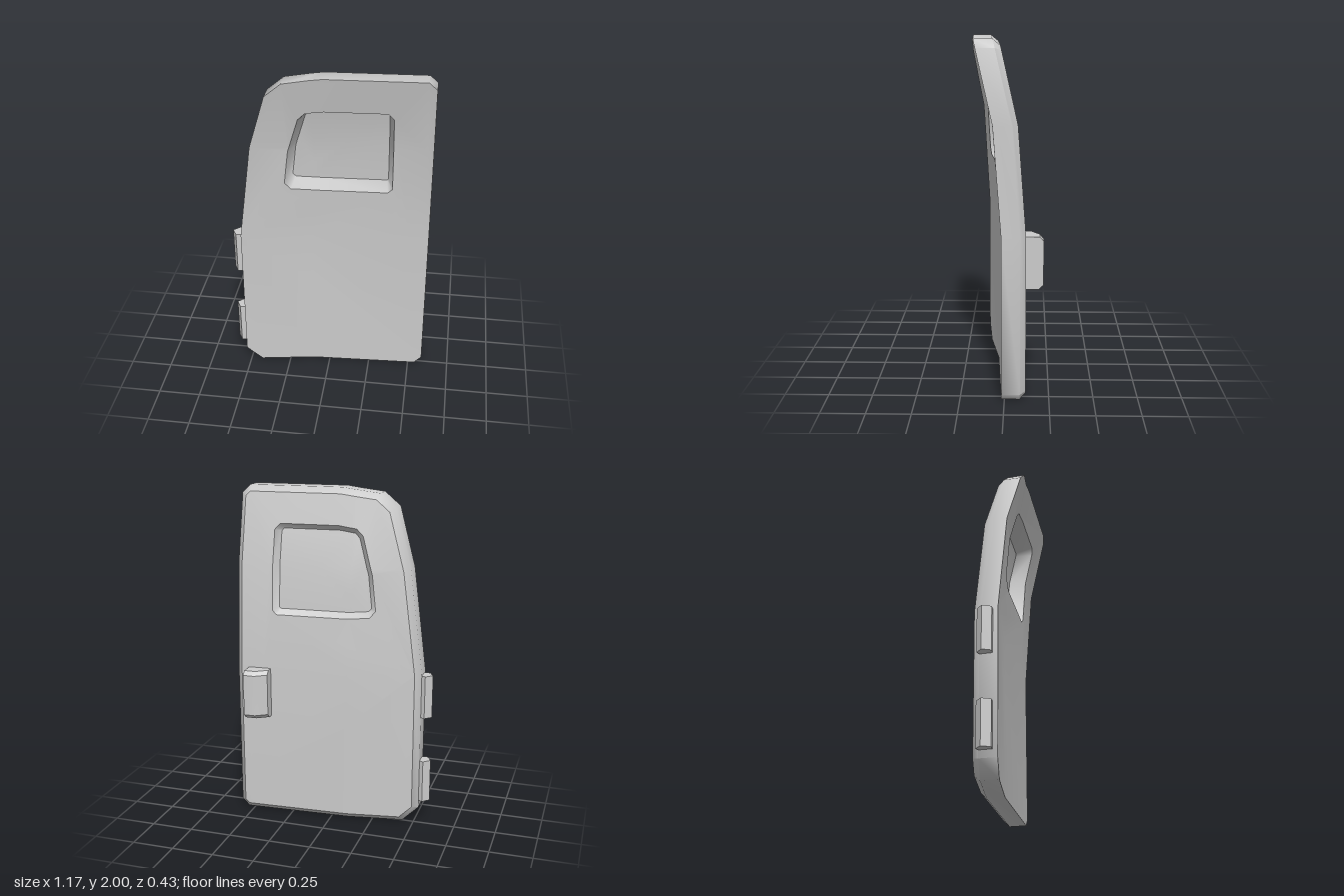
import * as THREE from 'three';
import { toCreasedNormals } from 'three/addons/utils/BufferGeometryUtils.js';

// Outlines, counter-clockwise seen from the front
const OUTLINE = [[-0.43, 0], [0.54, 0], [0.585, 0.045], [0.585, 1.955], [0.54, 2], [-0.02, 2],
  [-0.24, 1.97], [-0.335, 1.89], [-0.44, 1.55], [-0.525, 0.94], [-0.525, 0.09]];
const WINDOW = [[-0.22, 1.27], [-0.09, 1.26], [0.335, 1.26], [0.362, 1.285], [0.362, 1.755], [0.33, 1.79],
  [-0.02, 1.79], [-0.125, 1.775], [-0.165, 1.735], [-0.23, 1.52], [-0.255, 1.31]];
const THICK = 0.137, BEVEL = 0.034, PANE = 0.1;

// Piecewise linear interpolation
function lerpTable(t, v) {
  let i = 1;
  while (i < t.length - 1 && v > t[i][0]) i++;
  const [a, fa] = t[i - 1], [b, fb] = t[i];
  return fa + (fb - fa) * (v - a) / (b - a);
}
// Depth of the curved front skin
const skinZ = (x, y) => lerpTable([[-0.525, 0.12], [-0.1, 0.05], [0.585, 0.016]], x)
  + lerpTable([[0, 0], [0.94, 0], [1.55, 0.045], [2, 0.145]], y);

// Outline moved inwards by d, with mitred corners
function inset(ring, d) {
  const n = ring.length;
  const dir = (i) => {
    const p = ring[(i + n) % n], q = ring[(i + 1) % n];
    return new THREE.Vector2(q[0] - p[0], q[1] - p[1]).normalize();
  };
  return ring.map(([x, y], i) => {
    const a = dir(i - 1), b = dir(i);
    const k = d / (1 + a.dot(b));
    return [x - (a.y + b.y) * k, y + (a.x + b.x) * k];
  });
}

// Wall triangles between two rings, facing outwards (or inwards)
function band(front, zf, back, zb, inward = false) {
  const tris = [];
  front.forEach((p, i) => {
    const j = (i + 1) % front.length;
    const pf = [...p, zf], qf = [...front[j], zf], pb = [...back[i], zb], qb = [...back[j], zb];
    tris.push([pb, qb, qf], [pb, qf, pf]);
  });
  return inward ? tris.map((t) => t.reverse()) : tris;
}

// Flat triangles filling a ring, with an optional hole
function face(ring, z, hole, backward = false) {
  const vec = (r) => r.map(([x, y]) => new THREE.Vector2(x, y));
  const holes = hole ? [[...hole].reverse()] : [];
  const points = [ring, ...holes].flat();
  const tris = THREE.ShapeUtils.triangulateShape(vec(ring), holes.map(vec))
    .map((t) => t.map((i) => [...points[i], z]));
  return backward ? tris.map((t) => t.reverse()) : tris;
}

// Part of a convex polygon on one side of an axis-aligned line
function clip(poly, axis, value, side) {
  const out = [];
  poly.forEach((p, i) => {
    const q = poly[(i + 1) % poly.length];
    const dp = (p[axis] - value) * side, dq = (q[axis] - value) * side;
    if (dp >= 0) out.push(p);
    if ((dp > 0 && dq < 0) || (dp < 0 && dq > 0)) {
      const t = dp / (dp - dq);
      out.push(p.map((v, k) => v + (q[k] - v) * t));
    }
  });
  return out;
}

// Split flat triangles along the bend lines, then bend them onto the skin
function bent(tris) {
  let polys = tris;
  for (const [axis, value] of [[0, -0.1], [1, 0.94], [1, 1.55]]) {
    polys = polys.flatMap((p) => [clip(p, axis, value, 1), clip(p, axis, value, -1)])
      .filter((p) => p.length > 2);
  }
  const pos = [];
  for (const p of polys) {
    for (let i = 1; i < p.length - 1; i++) {
      for (const [x, y, z] of [p[0], p[i], p[i + 1]]) pos.push(x, y, z + skinZ(x, y));
    }
  }
  const g = new THREE.BufferGeometry();
  g.setAttribute('position', new THREE.Float32BufferAttribute(pos, 3));
  return toCreasedNormals(g, 0.9);
}

export function createModel() {
  const group = new THREE.Group();
  const material = new THREE.MeshStandardMaterial({ color: 0xcccccc });
  const add = (name, geometry, mat = material) => {
    const mesh = new THREE.Mesh(geometry, mat);
    mesh.name = name;
    group.add(mesh);
    return mesh;
  };

  // Door shell: front skin, rounded rim, inner skin
  const backRing = inset(OUTLINE, BEVEL);
  add('frontSkin', bent(face(OUTLINE, 0, WINDOW)));
  add('rim', bent([
    ...band(OUTLINE, 0, OUTLINE, BEVEL - THICK),
    ...band(OUTLINE, BEVEL - THICK, backRing, -THICK),
  ]));
  add('backSkin', bent(face(backRing, -THICK, WINDOW, true)));

  // Window: sloped frames on both sides of a single pane
  const paneRing = inset(WINDOW, 0.031);
  add('windowFrameFront', bent(band(WINDOW, 0, paneRing, -PANE, true)));
  add('windowFrameBack', bent(band(paneRing, -PANE, WINDOW, -THICK, true)));
  const paneMaterial = material.clone();
  paneMaterial.side = THREE.DoubleSide;
  add('windowPane', bent(face(paneRing, -PANE)), paneMaterial);

  // Hinges: upright prisms on the hinge edge, profile given as x, -z
  const hingeProfile = [[-0.587, -0.045], [-0.56, -0.095], [-0.51, -0.09], [-0.51, -0.025], [-0.548, -0.008]];
  const hingeShape = new THREE.Shape(hingeProfile.map((p) => new THREE.Vector2(...p)));
  for (const [name, y] of [['lowerHinge', 0.135], ['upperHinge', 0.67]]) {
    const hinge = new THREE.ExtrudeGeometry(hingeShape, { depth: 0.26, bevelEnabled: false });
    add(name, hinge.rotateX(-Math.PI / 2).translate(0, y, 0));
  }

  // Handle: side profile (-z, y) extruded across, its inner end sloped down
  const handleProfile = [[0.095, 0.635], [0.19, 0.635], [0.216, 0.66], [0.216, 0.908], [0.195, 0.932], [0.095, 0.932]];
  const handle = new THREE.ExtrudeGeometry(
    new THREE.Shape(handleProfile.map((p) => new THREE.Vector2(...p))),
    { depth: 0.135, steps: 2, bevelEnabled: false });
  handle.rotateY(Math.PI / 2).translate(0.37, 0, 0);
  const pos = handle.attributes.position;
  for (let i = 0; i < pos.count; i++) {
    if (pos.getX(i) < 0.38 && pos.getZ(i) < -0.15) pos.setZ(i, pos.getZ(i) + 0.045);
  }
  handle.computeVertexNormals();
  add('handle', toCreasedNormals(handle, 0.6));

  return group;
}
